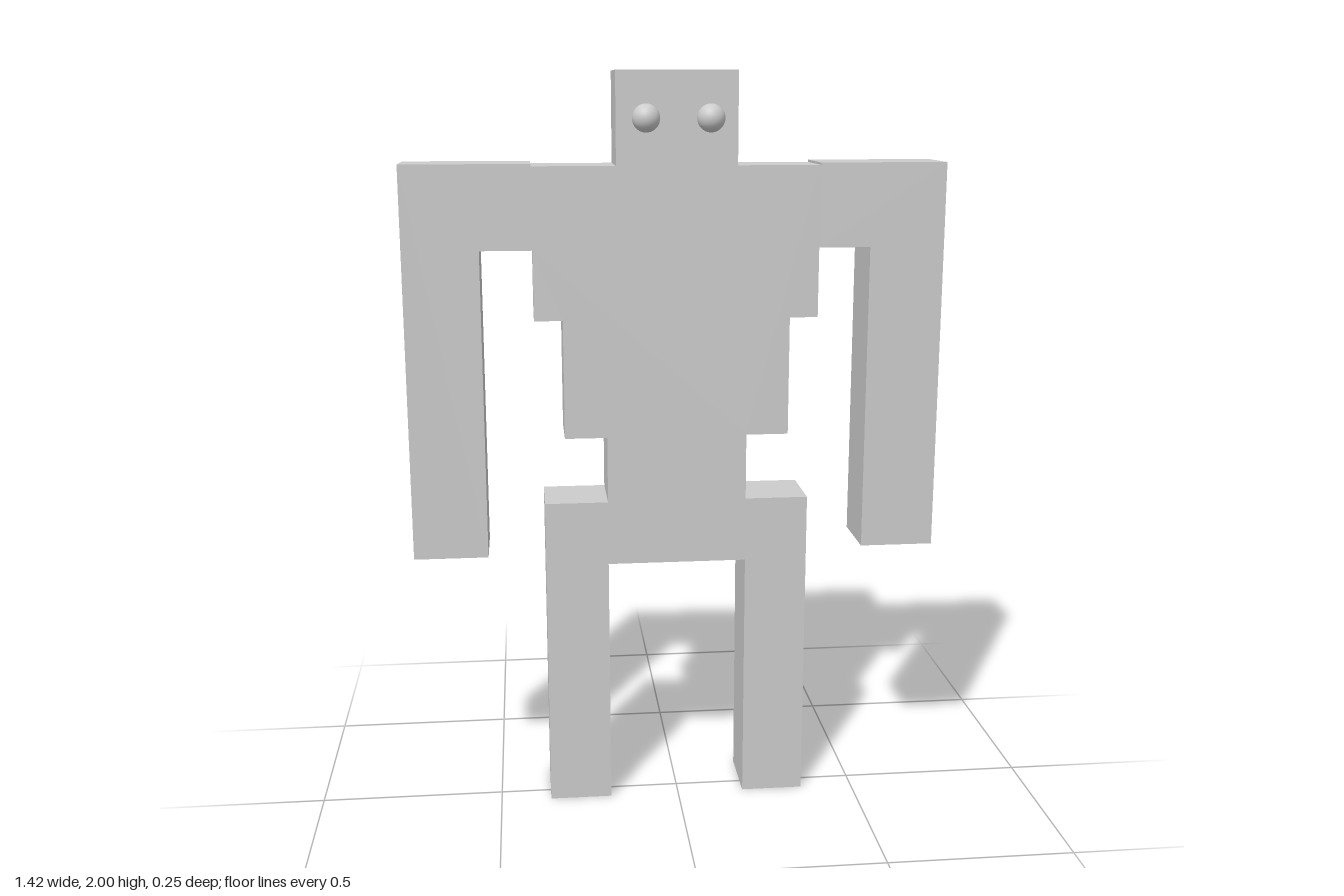
import * as THREE from 'three';

const CENTER_X = -0.003;
const BACK_Z = -0.126;
const DEPTH = 0.181;

export function createModel() {
  const model = new THREE.Group();
  model.name = 'blockFigure';
  const material = new THREE.MeshStandardMaterial({ color: 0xcccccc });

  // Half outline of the flat body, from the top of the head down to the crotch
  const half = [
    [0.158, 2.0], [0.158, 1.761],                                   // head
    [0.376, 1.761], [0.376, 1.767],                                 // shoulder
    [0.712, 1.767], [0.712, 0.722], [0.513, 0.722], [0.513, 1.547], // arm
    [0.376, 1.547], [0.376, 1.363],                                 // chest
    [0.301, 1.363], [0.301, 1.046],                                 // ribs
    [0.188, 1.046], [0.188, 0.867],                                 // waist
    [0.358, 0.867], [0.358, 0], [0.188, 0], [0.188, 0.692],         // hip and leg
  ];
  const mirrored = half.map(([x, y]) => [-x, y]).reverse();
  const outline = [...half, ...mirrored].map(([x, y]) => new THREE.Vector2(x + CENTER_X, y));

  // Body: one slab with head, arms, torso and legs
  const bodyGeometry = new THREE.ExtrudeGeometry(new THREE.Shape(outline), {
    depth: DEPTH,
    bevelEnabled: false,
  });
  bodyGeometry.translate(0, 0, BACK_Z);
  const body = new THREE.Mesh(bodyGeometry, material);
  body.name = 'body';
  model.add(body);

  // Eyes: balls resting against the face
  const eyeGeometry = new THREE.SphereGeometry(0.036, 32, 20);
  for (const [name, side] of [['leftEye', 1], ['rightEye', -1]]) {
    const eye = new THREE.Mesh(eyeGeometry, material);
    eye.name = name;
    eye.position.set(CENTER_X + side * 0.083, 1.881, 0.09);
    model.add(eye);
  }

  return model;
}
